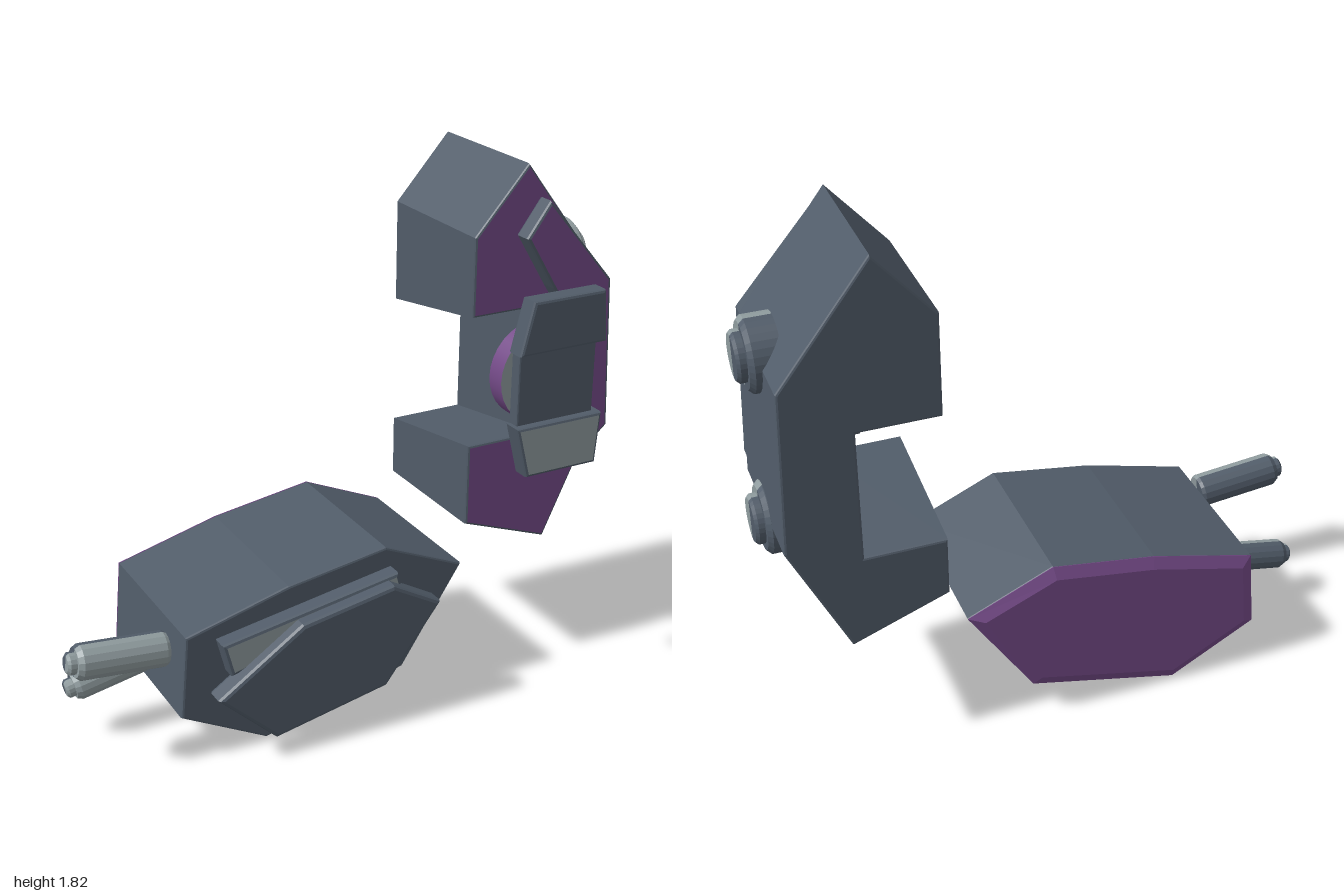
import * as THREE from 'three';

const paint = (name, color) => {
  const m = new THREE.MeshStandardMaterial({ color });
  m.name = name;
  return m;
};

export function createModel() {
  const slate = paint('slate', 0x515c69);
  const purple = paint('purple', 0x754b89);
  const steel = paint('light steel', 0x909c9f);
  const model = new THREE.Group();

  // Prism from a front outline, between two depths, with separate colours for front, sides and back
  function prism(name, points, z0, z1, bevel, front = slate, side = slate, back = slate) {
    const shape = new THREE.Shape(points.map(([x, y]) => new THREE.Vector2(x, y)));
    const g = new THREE.ExtrudeGeometry(shape, {
      depth: z1 - z0 - 2 * bevel, bevelEnabled: true, bevelThickness: bevel,
      bevelSize: bevel, bevelOffset: -bevel, bevelSegments: 2,
    });
    g.translate(0, 0, z0 + bevel);
    const [caps, walls] = g.groups;
    const half = caps.count / 2;
    g.clearGroups();
    g.addGroup(0, half, 2);
    g.addGroup(half, half, 0);
    g.addGroup(walls.start, walls.count, 1);
    const mesh = new THREE.Mesh(g, [front, side, back]);
    mesh.name = name;
    model.add(mesh);
    return mesh;
  }

  // Stepped round peg along +x, steel on its front half and slate on its rear half
  function peg(name, profile, segments) {
    const group = new THREE.Group();
    group.name = name;
    const pts = profile.map(([r, x]) => new THREE.Vector2(r, x));
    [[steel, 'FrontHalf', -Math.PI / 2], [slate, 'RearHalf', Math.PI / 2]].forEach(([mat, label, start]) => {
      const g = new THREE.LatheGeometry(pts, segments / 2, start, Math.PI).toNonIndexed();
      g.computeVertexNormals();
      g.rotateZ(-Math.PI / 2);
      const mesh = new THREE.Mesh(g, mat);
      mesh.name = name + label;
      group.add(mesh);
    });
    model.add(group);
    return group;
  }

  // Upright block with a slot cut into its inner side
  const tower = prism('uprightBlock', [
    [0.44, 1.6], [0.44, 1.33], [0.71, 1.33], [0.71, 0.875], [0.44, 0.875], [0.44, 0.585],
    [0.765, 0.465], [0.955, 0.87], [0.935, 1.43], [0.635, 1.82],
  ], -0.335, 0.17, 0.008, purple);
  // The slot slopes down towards the back
  const p = tower.geometry.attributes.position;
  for (let i = 0; i < p.count; i++) {
    if (p.getX(i) < 0.73 && p.getY(i) > 0.8 && p.getY(i) < 1.4 && p.getZ(i) < -0.1) {
      p.setY(i, p.getY(i) - 0.08);
    }
  }
  tower.geometry.computeVertexNormals();

  // Curved trim plate in front of the upright block
  prism('uprightTrim', [
    [0.58, 1.6], [0.69, 1.42], [0.8, 1.25], [0.81, 0.775], [0.945, 0.89], [0.92, 1.42], [0.665, 1.715],
  ], 0.19, 0.258, 0.01, purple);

  // Disc behind the clamp
  const disc = new THREE.Mesh(new THREE.CylinderGeometry(0.17, 0.17, 0.07, 32), [purple, steel, purple]);
  disc.name = 'clampDisc';
  disc.rotation.x = Math.PI / 2;
  disc.position.set(0.665, 1.13, 0.232);
  model.add(disc);

  // Clamp: centre plate and two flared ends
  prism('clampCentre', [[0.51, 0.96], [0.81, 0.96], [0.81, 1.28], [0.51, 1.28]],
    0.3, 0.345, 0.006, slate, slate, steel);
  [[1, 'clampTop', slate], [-1, 'clampBottom', steel]].forEach(([s, name, mat]) => {
    const pts = [[0.495, 0.125], [0.83, 0.125], [0.815, 0.305], [0.54, 0.305]]
      .map(([x, y]) => [x, 1.127 + s * y]);
    prism(name, pts, 0.302, 0.375, 0.01, mat);
  });

  // Side knobs
  [1.425, 0.835].forEach((y) => {
    const k = peg('sideKnob', [
      [0, -0.13], [0.12, -0.13], [0.12, -0.045], [0.105, -0.03],
      [0.082, -0.03], [0.082, -0.01], [0.072, 0], [0, 0],
    ], 32);
    k.position.set(1, y, -0.065);
  });

  // Lying block with a bevelled coloured back
  const hull = [
    [-0.63, 0.455], [-0.655, 0.165], [-0.355, 0.003], [0.165, 0.13],
    [0.39, 0.475], [0.095, 0.605], [-0.265, 0.55],
  ];
  prism('lyingBlock', hull, -0.357, 0.228, 0.008, slate, slate, purple);
  const backShape = new THREE.Shape(hull.map(([x, y]) => new THREE.Vector2(x, y)));
  const backGeo = new THREE.ExtrudeGeometry(backShape, {
    depth: 0.002, bevelThickness: 0.02, bevelSize: 0.04, bevelOffset: -0.04, bevelSegments: 1,
  });
  backGeo.translate(0, 0, -0.355);
  const backPlate = new THREE.Mesh(backGeo, purple);
  backPlate.name = 'lyingBlockBack';
  model.add(backPlate);

  // Front cover and the bar behind it
  prism('frontCover', [
    [-0.567, 0.26], [-0.365, 0.065], [0.045, 0.145], [0.25, 0.415], [0.07, 0.518], [-0.265, 0.46],
  ], 0.255, 0.335, 0.014);
  prism('frontBar', [[-0.53, 0.43], [-0.5, 0.31], [0.125, 0.48], [0.11, 0.535]], 0.222, 0.29, 0.012, steel);

  // Two rods pointing out of the end
  [['upperRod', -0.668, 0.388, 0.14, 0.335, 0.06, 0.1], ['lowerRod', -0.66, 0.242, -0.08, 0.285, 0.053, -0.19]]
    .forEach(([name, x, y, z, len, r, droop]) => {
      const rod = peg(name, [
        [0, 0], [r * 0.9, 0], [r, 0.012], [r, len - 0.045], [r * 0.82, len - 0.028],
        [r * 0.62, len - 0.028], [r * 0.62, len - 0.008], [r * 0.45, len], [0, len],
      ], 16);
      rod.children.forEach((m) => m.geometry.rotateX(Math.PI));
      // Turned about the upright axis, so the front half is put back towards the front
      rod.children.forEach((m) => m.geometry.rotateY(Math.PI));
      rod.rotation.z = -droop;
      rod.position.set(x, y, z);
    });

  return model;
}
